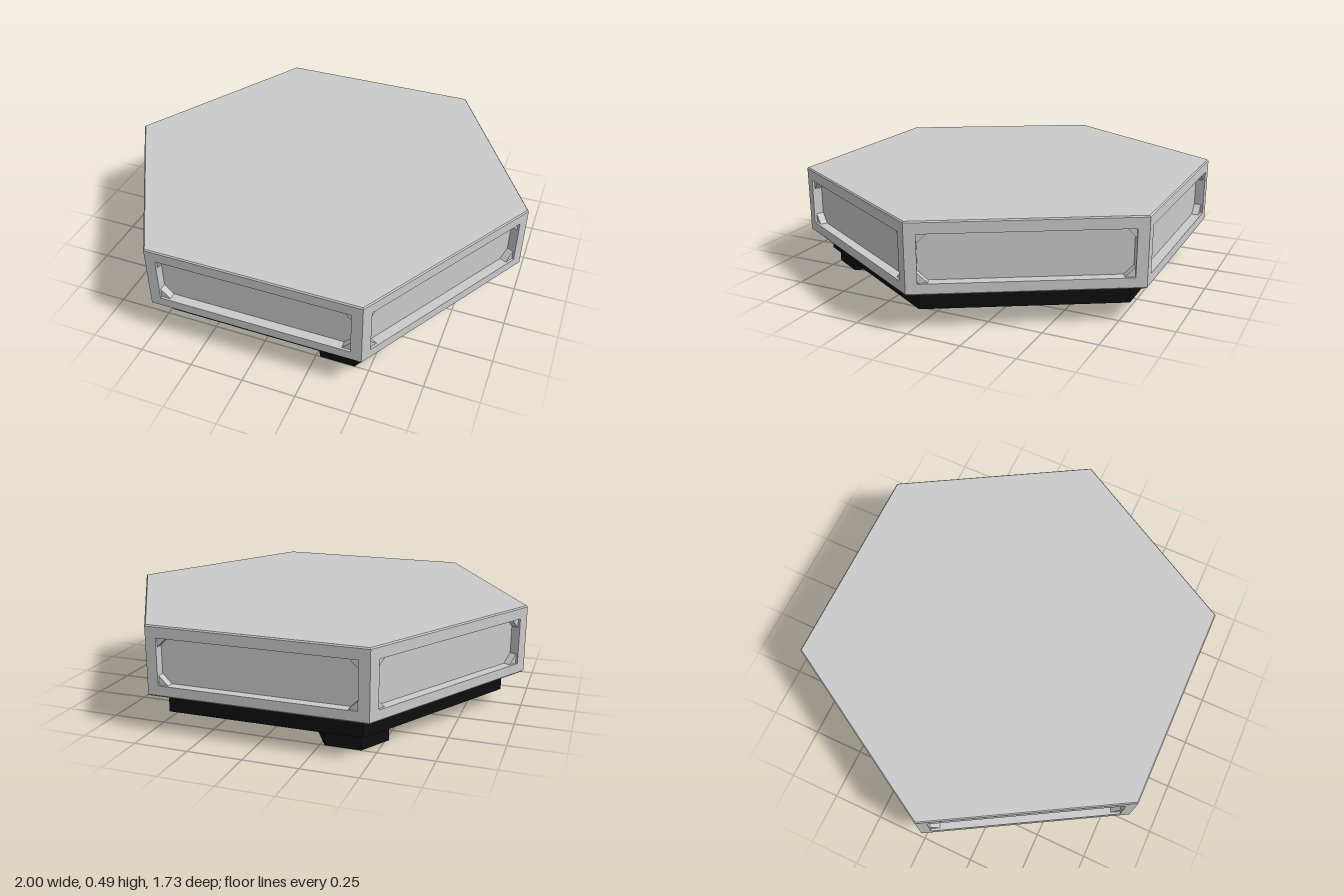
import * as THREE from 'three';

const grey = new THREE.MeshStandardMaterial({ color: 0xcccccc, flatShading: true });
const black = new THREE.MeshStandardMaterial({ color: 0x0e0e0e, flatShading: true });

const APOTHEM = Math.sqrt(3) / 2;
const DEPTH = 0.045;                    // depth of the side recesses
const BOTTOM = 0.17, TOP = 0.49, BEVEL = 0.006;

// Hexagonal prism with corners on the x axis
function hex(name, rTop, rBottom, y0, y1, material, x = 0, z = 0) {
  const geo = new THREE.CylinderGeometry(rTop, rBottom, y1 - y0, 6, 1, false, Math.PI / 6);
  const mesh = new THREE.Mesh(geo, material);
  mesh.name = name;
  mesh.position.set(x, (y0 + y1) / 2, z);
  return mesh;
}

function polygon(points, Type = THREE.Shape) {
  return new Type(points.map(([x, y]) => new THREE.Vector2(x, y)));
}

function rectangle(x, y0, y1) {
  return [[-x, y0], [x, y0], [x, y1], [-x, y1]];
}

// Window frame of one side, its ends mitred to meet the neighbours
function frameGeometry(openX, openY0, openY1) {
  const shape = polygon(rectangle(0.5, BOTTOM + BEVEL, TOP - BEVEL));
  shape.holes.push(polygon(rectangle(openX, openY0, openY1).reverse(), THREE.Path));
  const geo = new THREE.ExtrudeGeometry(shape, { depth: DEPTH, bevelEnabled: false });
  const p = geo.attributes.position;
  for (let i = 0; i < p.count; i++) {
    if (Math.abs(p.getX(i)) > 0.49) {
      p.setX(i, Math.sign(p.getX(i)) * (0.5 - (DEPTH - p.getZ(i)) * Math.tan(Math.PI / 6)));
    }
  }
  geo.computeVertexNormals();
  return geo;
}

export function createModel() {
  const model = new THREE.Group();
  model.name = 'hexagonalPlatform';

  // Body: core, bevelled top and bottom plates
  const coreRadius = 1 - DEPTH / APOTHEM;
  model.add(
    hex('core', coreRadius, coreRadius, BOTTOM + BEVEL, TOP - BEVEL, grey),
    hex('topPlate', 1 - BEVEL, 1, TOP - BEVEL, TOP, grey),
    hex('bottomPlate', 1, 1 - BEVEL, BOTTOM, BOTTOM + BEVEL, grey)
  );

  // Six recessed sides with corner gussets
  const openX = 0.45, y0 = 0.22, y1 = 0.435, size = 0.043;
  const frame = frameGeometry(openX, y0, y1);
  const gussets = [];
  for (const sx of [-1, 1]) {
    for (const [y, sy] of [[y0, 1], [y1, -1]]) {
      const x = sx * openX;
      const shape = polygon([[x, y], [x - sx * size, y], [x, y + sy * size]]);
      gussets.push(new THREE.ExtrudeGeometry(shape, { depth: DEPTH - 0.011, bevelEnabled: false }));
    }
  }
  for (let i = 0; i < 6; i++) {
    const side = new THREE.Group();
    side.name = 'side';
    side.rotation.y = i * Math.PI / 3;
    const add = (geo, name) => {
      const mesh = new THREE.Mesh(geo, grey);
      mesh.name = name;
      mesh.position.z = APOTHEM - DEPTH;
      side.add(mesh);
    };
    add(frame, 'sideFrame');
    gussets.forEach((g) => add(g, 'cornerGusset'));
    model.add(side);
  }

  // Dark underside: base, central pad and two feet at opposite corners
  model.add(
    hex('base', 0.9, 0.9, 0.07, BOTTOM, black),
    hex('centralPad', 0.49, 0.49, 0, 0.07, black)
  );
  for (const s of [1, -1]) {
    model.add(hex('foot', 0.162, 0.162, 0, 0.07, black, s * 0.352, s * 0.61));
  }
  return model;
}
